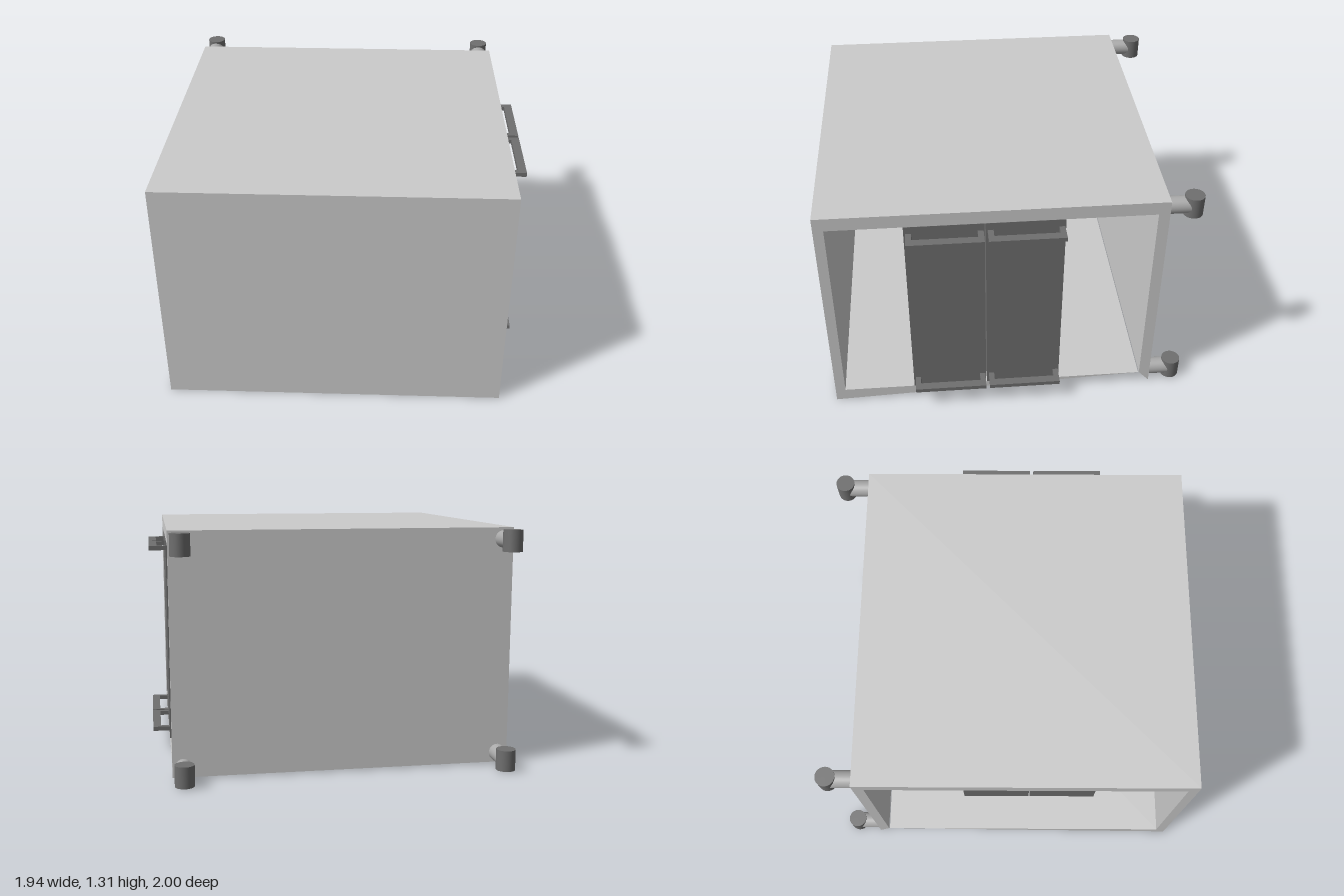
import * as THREE from 'three';

const shell = new THREE.MeshStandardMaterial({ color: 0xcccccc });
const mid = new THREE.MeshStandardMaterial({ color: 0xaaaaaa });
const dark = new THREE.MeshStandardMaterial({ color: 0x6f6f6f });

const X0 = -0.97, X1 = 0.875; // shell ends

function add(parent, name, geometry, material, x = 0, y = 0, z = 0) {
  const mesh = new THREE.Mesh(geometry, material);
  mesh.name = name;
  mesh.position.set(x, y, z);
  parent.add(mesh);
  return mesh;
}

// Box given by its lower and upper corners
function slab(parent, name, material, a, b) {
  const size = a.map((v, i) => b[i] - v);
  const mid = a.map((v, i) => (v + b[i]) / 2);
  return add(parent, name, new THREE.BoxGeometry(...size), material, ...mid);
}

// Flat U-shaped pull: two legs and a bar
function makeHandle(y, zMin, zMax) {
  const s = new THREE.Shape([
    [X1, zMin], [0.97, zMin], [0.97, zMax], [X1, zMax],
    [X1, zMax - 0.03], [0.925, zMax - 0.03], [0.925, zMin + 0.03], [X1, zMin + 0.03],
  ].map(([x, z]) => new THREE.Vector2(x, -z)));
  const g = new THREE.ExtrudeGeometry(s, { depth: 0.024, bevelEnabled: false });
  g.rotateX(-Math.PI / 2);
  g.translate(0, y, 0);
  return g;
}

// Horizontal stub ending in an upright barrel
function makeHinge(x, y) {
  const hinge = new THREE.Group();
  hinge.name = 'hinge';
  hinge.position.set(x, y, -0.95);
  add(hinge, 'hingeBarrel', new THREE.CylinderGeometry(0.052, 0.052, 0.115, 32), dark);
  const stub = new THREE.CylinderGeometry(0.047, 0.047, 0.135, 32);
  stub.rotateX(Math.PI / 2);
  add(hinge, 'hingeStub', stub, mid, 0, 0, 0.0675);
  return hinge;
}

export function createModel() {
  const model = new THREE.Group();
  model.name = 'cabinet';

  // Tube-like shell, open at both ends, with a floor that thins toward the back
  const profile = new THREE.Shape([
    [1, 0], [1, 1.31], [-0.815, 1.31], [-0.815, 0.008], [-0.755, 0.075],
    [-0.755, 1.235], [0.945, 1.235], [0.945, 0.075], [-0.75, 0.075],
  ].map(([z, y]) => new THREE.Vector2(-z, y)));
  const g = new THREE.ExtrudeGeometry(profile, { depth: X1 - X0, bevelEnabled: false });
  g.rotateY(Math.PI / 2);
  add(model, 'shell', g, shell, X0, 0, 0);

  // Two upright drawers side by side, each with an upper and a lower pull
  for (const [z0, z1] of [[-0.28, 0.132], [0.138, 0.55]]) {
    slab(model, 'drawer', dark, [-0.76, 0.076, z0], [X1, 1.234, z1]);
    for (const y of [0.121, 1.167]) {
      add(model, 'handle', makeHandle(y, z0 + 0.005, z1 - 0.01), dark);
    }
  }

  // Hinges at the four back corners
  for (const x of [-0.915, 0.815]) {
    for (const y of [0.063, 1.248]) model.add(makeHinge(x, y));
  }
  return model;
}
